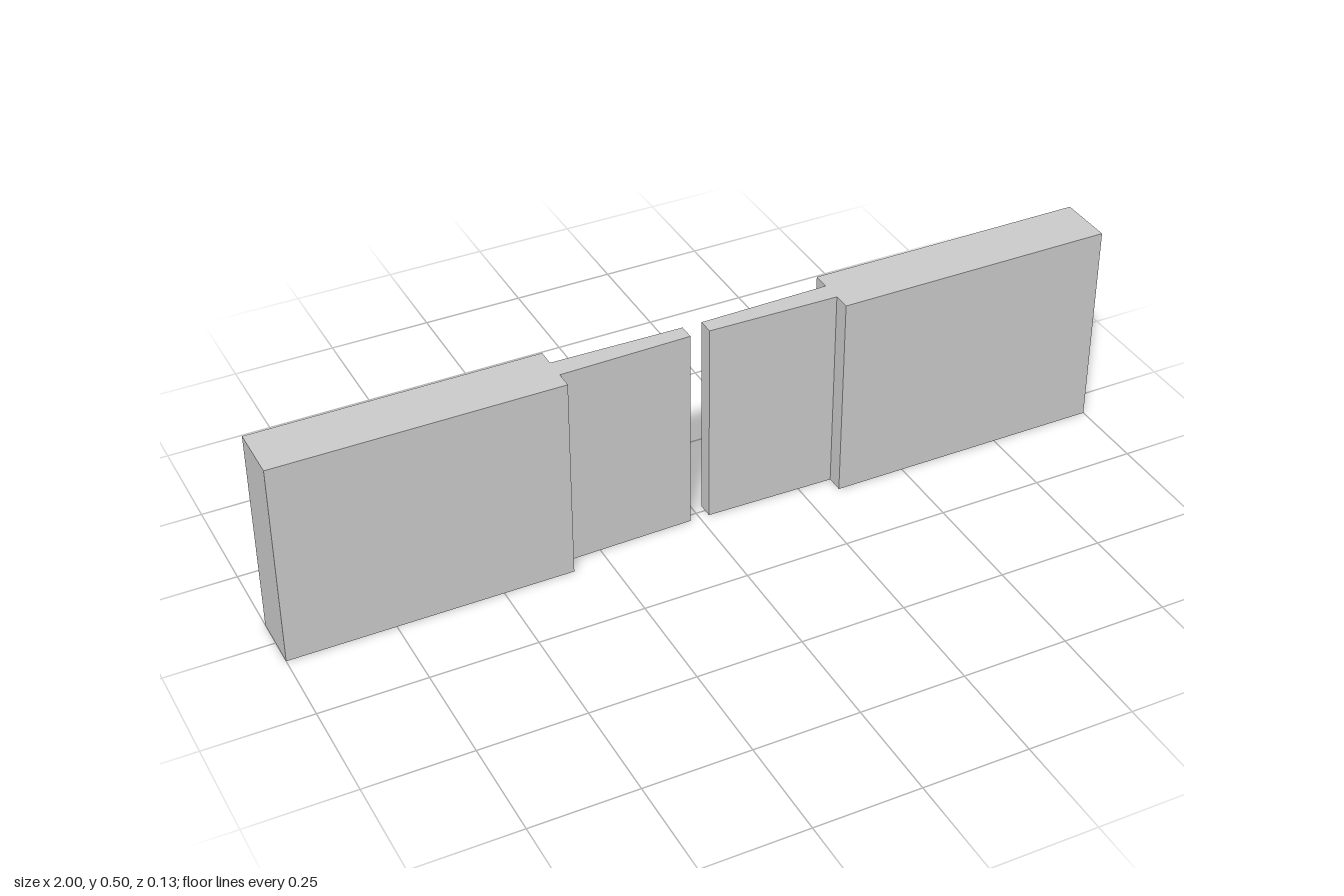
import * as THREE from 'three';

const HEIGHT = 0.5;
const WALL_START = 0.333;
const GAP = 0.023;

const material = new THREE.MeshStandardMaterial({ color: 0xcccccc, flatShading: true });

// Upright slab whose half thickness goes from t0 at x0 to t1 at x1
function slab(name, x0, t0, x1, t1) {
  const plan = new THREE.Shape([
    new THREE.Vector2(x0, -t0),
    new THREE.Vector2(x1, -t1),
    new THREE.Vector2(x1, t1),
    new THREE.Vector2(x0, t0),
  ]);
  const geometry = new THREE.ExtrudeGeometry(plan, { depth: HEIGHT, bevelEnabled: false });
  geometry.rotateX(-Math.PI / 2);
  const mesh = new THREE.Mesh(geometry, material);
  mesh.name = name;
  return mesh;
}

export function createModel() {
  const model = new THREE.Group();
  model.name = 'gatedWall';

  // Each half is a thick wall with a thin door leaf tapering to the middle gap
  for (const side of ['left', 'right']) {
    const half = new THREE.Group();
    half.name = side + 'Half';
    half.add(slab(side + 'Wall', WALL_START, 0.066, 1, 0.066));
    half.add(slab(side + 'Door', GAP, 0.019, WALL_START, 0.025));
    if (side === 'right') half.rotation.y = Math.PI;
    model.add(half);
  }
  return model;
}
